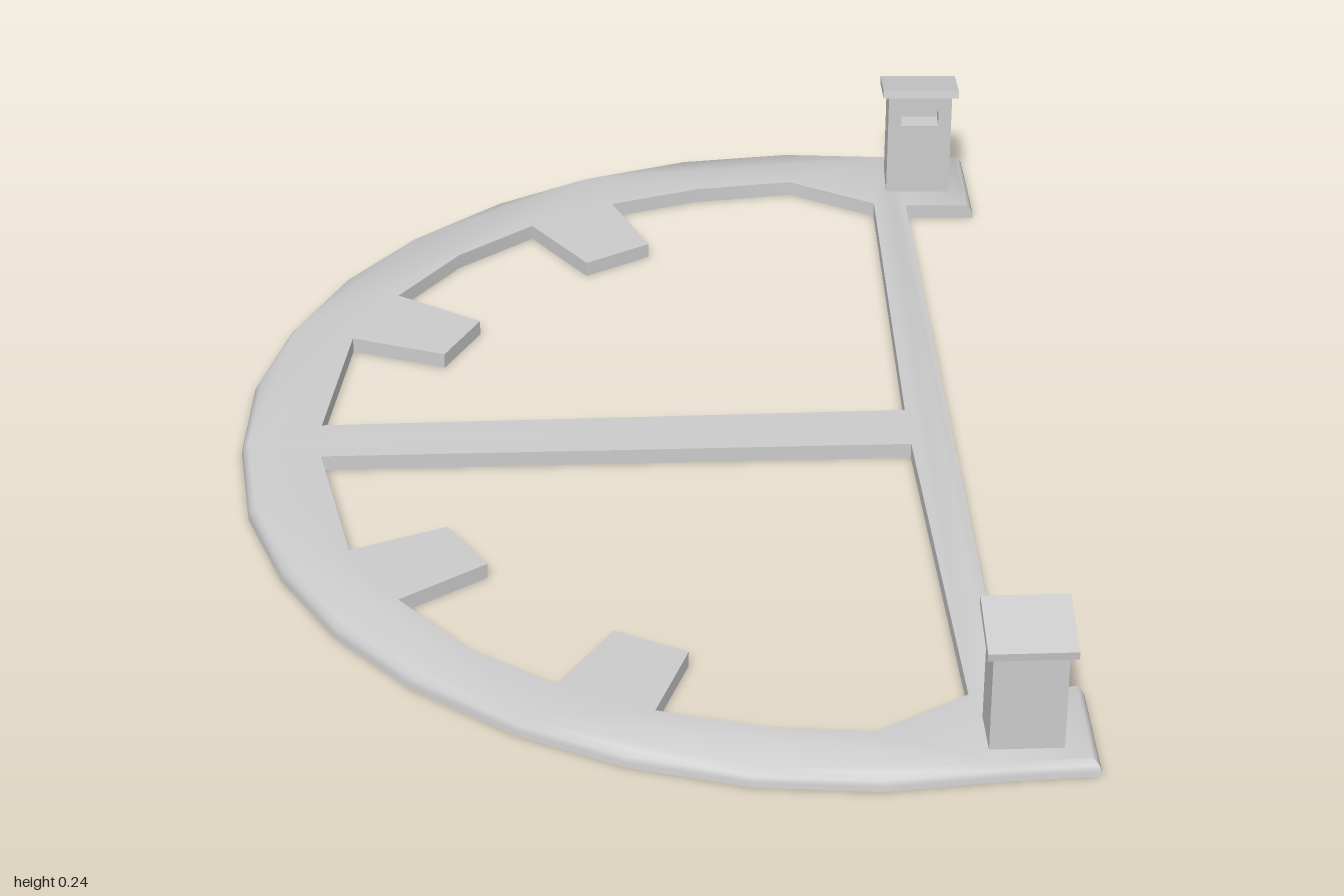
import * as THREE from 'three';
import { toCreasedNormals } from 'three/addons/utils/BufferGeometryUtils.js';

const material = new THREE.MeshStandardMaterial({ color: 0xcccccc });
const vec = ([x, z]) => new THREE.Vector2(x, z);
// mirror a half outline across z = 0, in reverse order
const mirrored = (pts) => pts.map(([x, z]) => [x, -z]).reverse();

function part(name, geometry) {
  const mesh = new THREE.Mesh(geometry, material);
  mesh.name = name;
  return mesh;
}

// Flat half-round frame: rim with teeth, pads, straight bar and cross bar
function makeFrame() {
  const thickness = 0.027;
  const outer = [
    [0.538, -0.78], [0.663, -0.775], [0.663, -0.975], [0.52, -0.982], [0.33, -1],
    [0.135, -0.98], [-0.055, -0.92], [-0.22, -0.83], [-0.38, -0.7],
    [-0.5, -0.555], [-0.59, -0.385], [-0.648, -0.2],
  ];
  const opening = [
    [0.465, -0.055], [0.48, -0.79], [0.33, -0.88], [0.155, -0.86], [-0.005, -0.81],
    [0.055, -0.655], [-0.06, -0.59], [-0.155, -0.733], [-0.29, -0.63],
    [-0.4, -0.487], [-0.256, -0.39], [-0.32, -0.277], [-0.48, -0.34], [-0.53, -0.05],
  ];
  const shape = new THREE.Shape([...outer, [-0.665, 0], ...mirrored(outer)].map(vec));
  // openings run against the outline so their walls face inwards
  for (const hole of [opening, mirrored(opening)]) shape.holes.push(new THREE.Path(hole.map(vec).reverse()));

  const geo = new THREE.ExtrudeGeometry(shape, { depth: thickness, steps: 3, bevelEnabled: false });
  geo.rotateX(Math.PI / 2).translate(0, thickness, 0);

  // round over the top of the outer rim and the pad ends
  const p = geo.attributes.position;
  for (let i = 0; i < p.count; i++) {
    const x = p.getX(i), y = p.getY(i), z = p.getZ(i);
    const inset = y > 0.025 ? 0.012 : y > 0.016 ? 0.004 : 0;
    const dx = x - 0.33, r = Math.hypot(dx, z);
    if (x > 0.65) {
      p.setX(i, x - inset);
      if (Math.abs(z) > 0.9) p.setZ(i, z - Math.sign(z) * inset);
    } else if (r > 0.95) {
      p.setX(i, x - dx * inset / r);
      p.setZ(i, z - z * inset / r);
    }
  }
  return part('frame', toCreasedNormals(geo, 0.9));
}

// Side profile (z, y) extruded across x, centred on x
function profileSlab(points, width, x) {
  const geo = new THREE.ExtrudeGeometry(new THREE.Shape(points.map(vec)), { depth: width, bevelEnabled: false });
  geo.translate(0, 0, -width / 2).rotateY(-Math.PI / 2);
  return geo.translate(x, 0, 0);
}

// Slotted post with a sloping cap; its slot faces local +z
function makePost() {
  const post = new THREE.Group();
  const d = 0.043, low = 0.202, high = 0.223;
  const solid = [[-d, 0.02], [d, 0.02], [d, high], [-d, low]];
  const notched = [[-d, 0.02], [d, 0.02], [d, 0.165], [0.005, 0.165], [0.005, 0.195], [d, 0.195], [d, high], [-d, low]];
  post.add(part('postMiddle', profileSlab(notched, 0.068, 0)));
  for (const s of [-1, 1]) post.add(part('postSide', profileSlab(solid, 0.024, s * 0.046)));
  const cap = [[-0.06, 0.201], [0.057, 0.229], [0.054, 0.243], [-0.062, 0.215]];
  post.add(part('postCap', profileSlab(cap, 0.138, 0)));
  return post;
}

export function createModel() {
  const model = new THREE.Group();
  model.name = 'halfRoundFrame';
  model.add(makeFrame());

  const backPost = makePost();
  backPost.name = 'backPost';
  backPost.position.set(0.567, 0, -0.875);
  backPost.rotation.y = -0.05;

  const frontPost = makePost();
  frontPost.name = 'frontPost';
  frontPost.position.set(0.553, 0, 0.893);
  frontPost.rotation.y = Math.PI;

  model.add(backPost, frontPost);
  return model;
}
